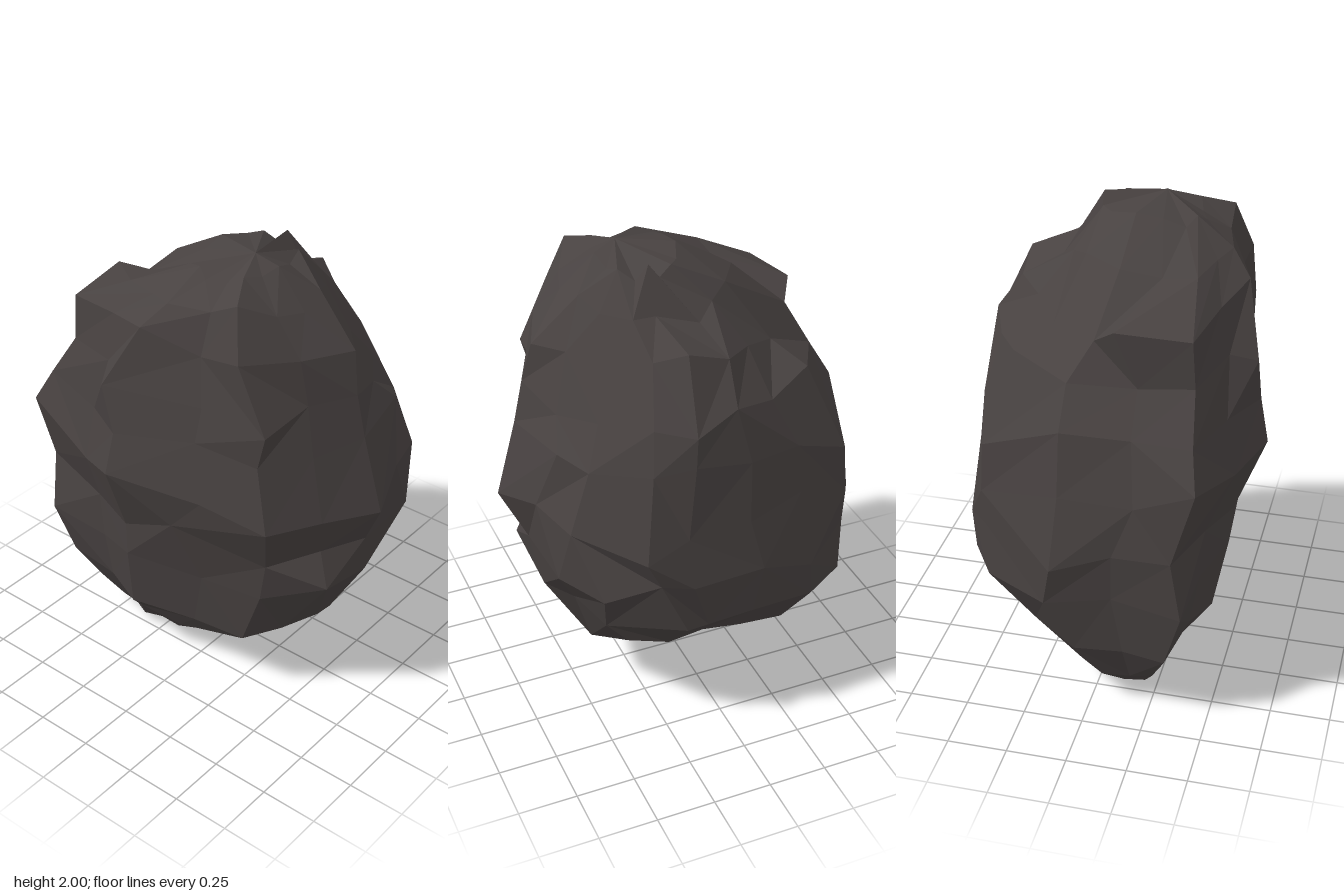
import * as THREE from 'three';

// Plan outline of the boulder, scaled to -1..1 (x, z), going round from the back
const OUTLINE = [
  [-0.71, -0.95], [-0.3, -0.96], [0.19, -1], [0.69, -0.75], [0.9, -0.48], [0.98, -0.13],
  [1, 0.23], [0.95, 0.48], [0.7, 0.8], [0.35, 0.9], [-0.06, 1], [-0.42, 0.87],
  [-0.76, 0.7], [-0.84, 0.3], [-1, -0.2], [-0.85, -0.5],
];

// Cross-sections: height, x min, x max, z min, z max
const RINGS = [
  [0.05, -0.24, -0.04, -0.51, -0.1],
  [0.15, -0.33, 0.14, -0.61, 0.2],
  [0.33, -0.45, 0.39, -0.71, 0.5],
  [0.58, -0.51, 0.61, -0.75, 0.64],
  [0.8, -0.53, 0.63, -0.77, 0.69],
  [1.04, -0.635, 0.6, -0.735, 0.77],
  [1.3, -0.6, 0.58, -0.69, 0.68],
  [1.5, -0.58, 0.55, -0.57, 0.645],
  [1.71, -0.53, 0.43, -0.55, 0.59],
  [1.84, -0.45, 0.23, -0.27, 0.45],
  [1.95, -0.32, 0.13, -0.03, 0.3],
];

// Broken faces: outward normal and distance from the origin
const CUTS = [
  [new THREE.Vector3(0.59, -0.39, 0.71), 0.39],
  [new THREE.Vector3(0.6, 0.5, 0.62), 1.2],
  [new THREE.Vector3(0.55, 0.6, -0.58), 1.27],
];

// Sharp corners: the nearest point of the rings is moved to each
const CORNERS = [
  // crown
  [-0.39, 1.92, 0.32], [0.12, 1.99, 0.16], [0.25, 1.77, 0], [0.42, 1.74, 0.12],
  [-0.09, 1.71, -0.55], [-0.46, 1.72, 0.38], [-0.02, 1.67, 0.6],
  // front
  [-0.04, 1, 0.77], [0.27, 1.33, 0.61], [0.16, 1.44, 0.57], [-0.46, 1.45, 0.51],
  [-0.22, 0.66, 0.65], [0.08, 0.58, 0.63], [0.34, 0.79, 0.65], [0.54, 0.77, 0.53], [0.11, 0.26, 0.44],
  // left side
  [0.56, 1.45, 0.14], [0.61, 0.95, 0.37], [0.63, 0.8, 0.18], [0.61, 0.58, 0.2], [0.59, 0.58, -0.1],
  [0.4, 0.43, 0.38], [0.43, 0.38, -0.12], [0.57, 0.72, -0.37], [0.38, 0.32, -0.34],
  // back
  [0.34, 1.53, -0.43], [0.44, 1.17, -0.57], [0.45, 0.96, -0.58], [0.12, 0.75, -0.775],
  [-0.45, 1.15, -0.73], [-0.4, 0.56, -0.72],
  // right side
  [-0.52, 1.76, -0.05], [-0.59, 1.48, -0.2], [-0.635, 1.1, -0.16], [-0.52, 0.89, 0.08],
];

function seeded(seed) {
  return () => {
    seed = (seed * 16807) % 2147483647;
    return seed / 2147483647;
  };
}

function boulderGeometry() {
  const rand = seeded(4711);
  const n = OUTLINE.length;
  const points = [];
  const index = [];

  // Rings of points, roughened inward and trimmed by the broken faces
  RINGS.forEach(([y, x0, x1, z0, z1]) => {
    OUTLINE.forEach(([u, v]) => {
      const s = 1 - 0.04 * rand();
      const p = new THREE.Vector3(
        (x0 + x1) / 2 + (u * s * (x1 - x0)) / 2,
        y + (rand() - 0.5) * 0.06,
        (z0 + z1) / 2 + (v * s * (z1 - z0)) / 2,
      );
      for (const [normal, d] of CUTS) {
        const over = p.dot(normal) - d;
        if (over > 0) p.addScaledVector(normal, -over);
      }
      points.push(p);
    });
  });

  // Corners, each taking one free point
  const free = new Set(points);
  for (const corner of CORNERS) {
    const target = new THREE.Vector3(...corner);
    let nearest = null;
    for (const p of free) {
      if (!nearest || p.distanceTo(target) < nearest.distanceTo(target)) nearest = p;
    }
    nearest.copy(target);
    free.delete(nearest);
  }

  // Sides, with the diagonals turned irregularly
  for (let r = 0; r < RINGS.length - 1; r++) {
    for (let i = 0; i < n; i++) {
      const j = (i + 1) % n;
      const a = r * n + i, b = r * n + j, c = a + n, d = b + n;
      if (rand() < 0.5) index.push(a, c, b, b, c, d);
      else index.push(a, c, d, a, d, b);
    }
  }

  // Foot and peak
  const foot = points.length;
  points.push(new THREE.Vector3(-0.17, 0, -0.43), new THREE.Vector3(-0.13, 2, 0.2));
  const last = (RINGS.length - 1) * n;
  for (let i = 0; i < n; i++) {
    const j = (i + 1) % n;
    index.push(foot, i, j, foot + 1, last + j, last + i);
  }

  const indexed = new THREE.BufferGeometry().setFromPoints(points);
  indexed.setIndex(index);
  const faceted = indexed.toNonIndexed();
  faceted.computeVertexNormals();
  return faceted;
}

export function createModel() {
  const group = new THREE.Group();
  group.name = 'rock';
  const stone = new THREE.MeshStandardMaterial({ color: 0x484241, flatShading: true });
  stone.name = 'darkStone';
  const boulder = new THREE.Mesh(boulderGeometry(), stone);
  boulder.name = 'boulder';
  group.add(boulder);
  return group;
}
